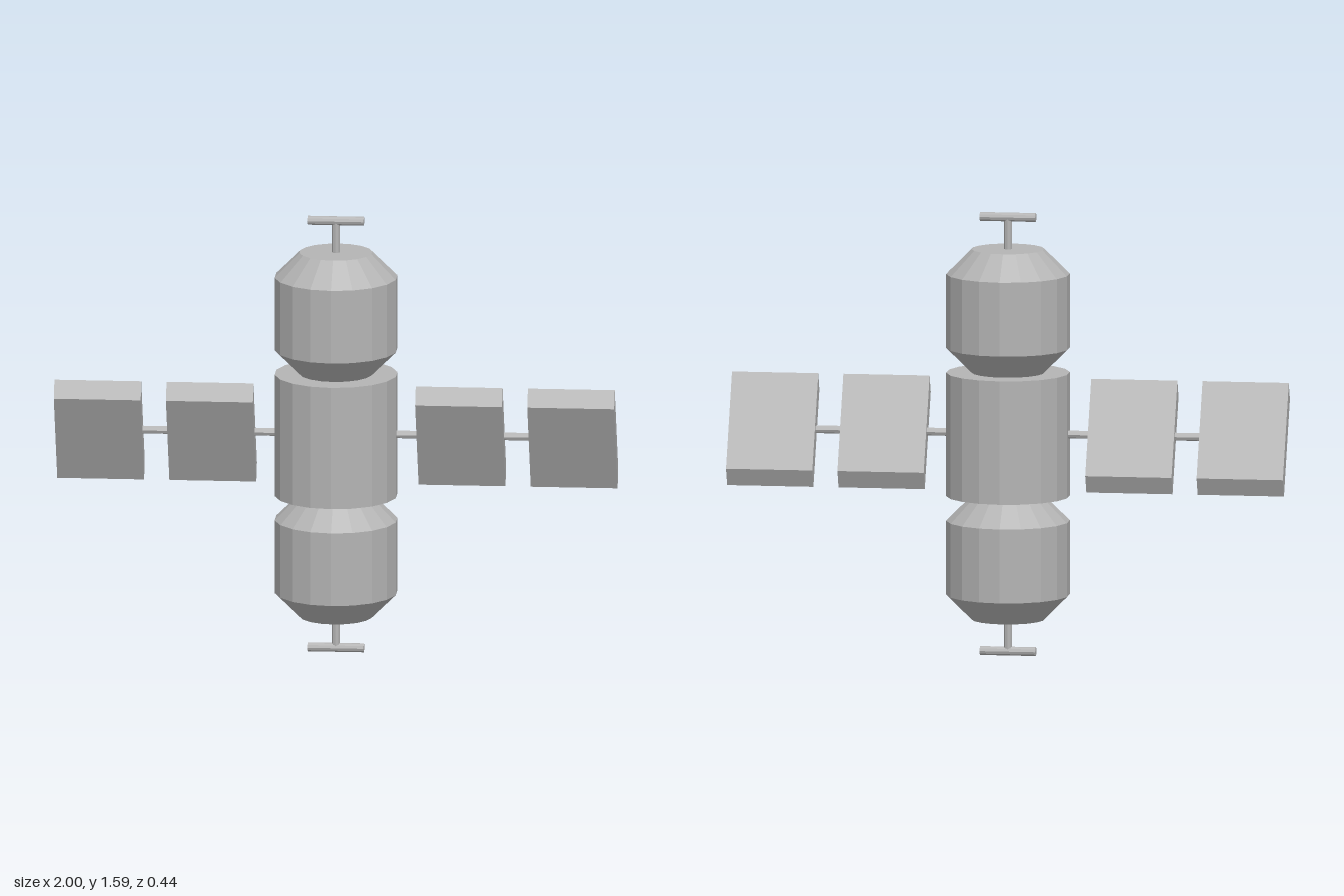
import * as THREE from 'three';

export function createModel() {
  const station = new THREE.Group();
  station.name = 'spaceStation';
  const metal = new THREE.MeshStandardMaterial({ color: 0xb4b4b4 });
  metal.name = 'grey metal';
  metal.flatShading = true;

  const MID = 0.797; // height of the middle of the station
  const SIDES = 18;

  function add(name, geometry, x = 0, y = 0, z = 0) {
    const mesh = new THREE.Mesh(geometry, metal);
    mesh.name = name;
    mesh.position.set(x, y, z);
    station.add(mesh);
    return mesh;
  }

  // Central drum
  add('centralDrum', new THREE.CylinderGeometry(0.22, 0.22, 0.444, SIDES), 0, MID);

  // Solar panel: slanted slab, profile given as (-z, y) around its middle
  const profile = new THREE.Shape([
    [-0.063, 0.195], [-0.092, 0.132], [0.063, -0.195], [0.092, -0.132],
  ].map(([a, b]) => new THREE.Vector2(a, b)));
  const panel = new THREE.ExtrudeGeometry(profile, { depth: 0.31, bevelEnabled: false });
  panel.rotateY(Math.PI / 2);
  panel.translate(-0.155, 0, 0);

  // Tapered module, the same at both ends
  const moduleGeometry = new THREE.LatheGeometry([
    [0, -0.222], [0.13, -0.222], [0.22, -0.133],
    [0.22, 0.133], [0.13, 0.222], [0, 0.222],
  ].map(([r, y]) => new THREE.Vector2(r, y)), SIDES);

  for (const s of [-1, 1]) {
    const end = s > 0 ? 'upper' : 'lower';
    add(end + 'Module', moduleGeometry, 0, MID + s * 0.444);

    // T-shaped antenna
    add(end + 'AntennaStem', new THREE.CylinderGeometry(0.014, 0.014, 0.12, 8), 0, MID + s * 0.72);
    const bar = add(end + 'AntennaBar', new THREE.CylinderGeometry(0.016, 0.016, 0.2, 10), 0, MID + s * 0.781);
    bar.rotation.z = Math.PI / 2;

    // Panel wing with its rod
    const side = s > 0 ? 'left' : 'right';
    const rod = add(side + 'PanelRod', new THREE.CylinderGeometry(0.014, 0.014, 0.55, 8), s * 0.465, MID + 0.003);
    rod.rotation.z = Math.PI / 2;
    add(side + 'InnerPanel', panel, s * 0.445, MID);
    add(side + 'OuterPanel', panel, s * 0.845, MID);
  }
  return station;
}
